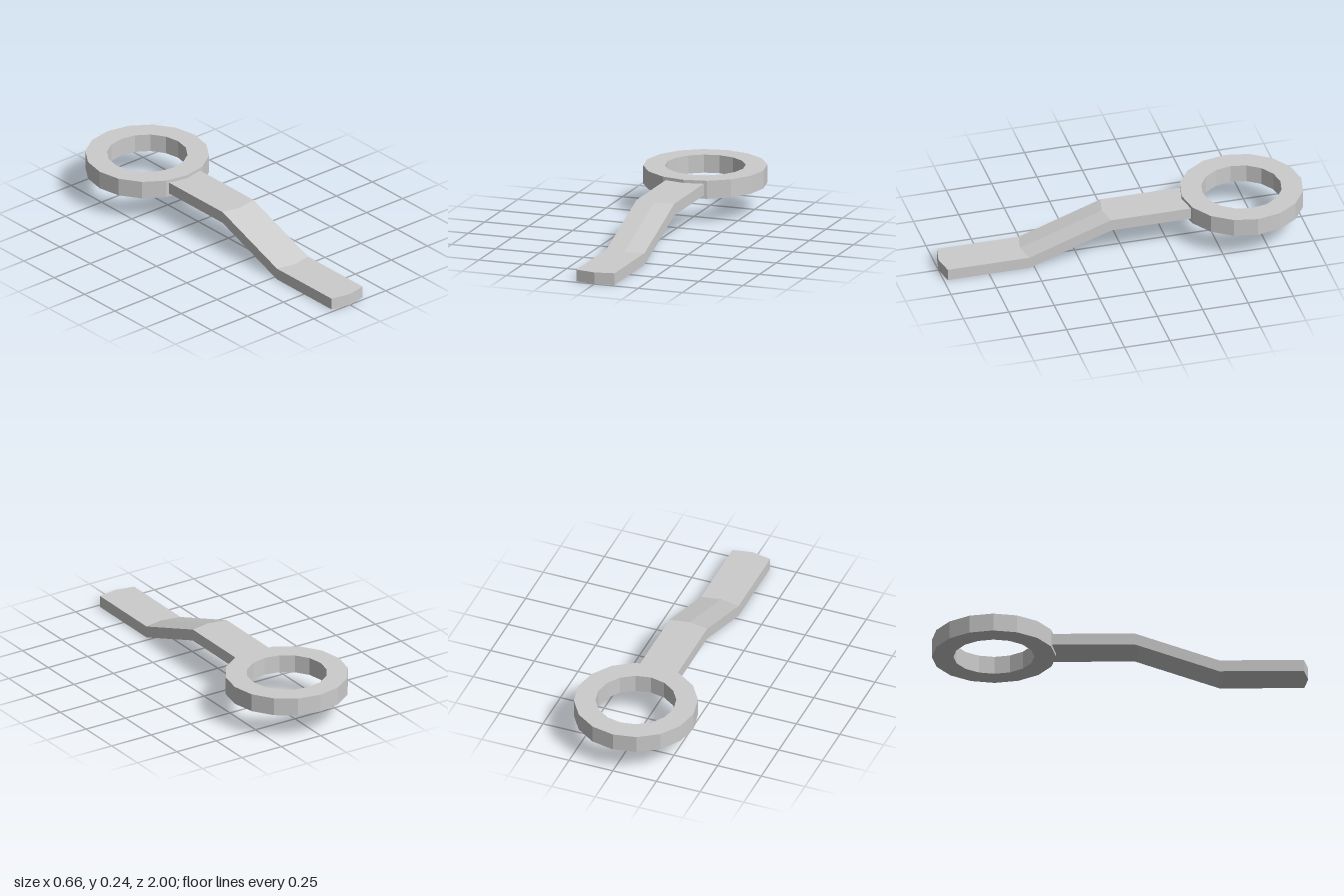
import * as THREE from 'three';

export function createModel() {
  const model = new THREE.Group();
  const material = new THREE.MeshStandardMaterial({ color: 0xcccccc, flatShading: true });

  const outer = 0.33, inner = 0.215, ringZ = -0.67;
  const halfWidth = 0.108, thickness = 0.064;

  // Sixteen-sided ring head: a rectangular section turned around the y axis
  const section = [
    [inner, 0.142], [outer, 0.142], [outer, 0.241], [inner, 0.241], [inner, 0.142],
  ].map(([r, y]) => new THREE.Vector2(r, y));
  const ring = new THREE.Mesh(new THREE.LatheGeometry(section, 16), material);
  ring.name = 'ringHead';
  ring.position.z = ringZ;
  model.add(ring);

  // Offset handle: side profile (z, y) extruded across the width in two steps
  const bulge = halfWidth * Math.tan(Math.PI / 16);
  const path = [[1, 0], [0.55, 0], [0.1, 0.16], [ringZ + outer, 0.16]];
  const profile = [
    ...path,
    ...path.slice().reverse().map(([z, y]) => [z, y + thickness]),
  ].map(([z, y]) => new THREE.Vector2(z - bulge, y));
  const handleGeometry = new THREE.ExtrudeGeometry(new THREE.Shape(profile), {
    depth: 2 * halfWidth, steps: 2, bevelEnabled: false,
  });
  handleGeometry.rotateY(-Math.PI / 2).translate(halfWidth, 0, 0);

  // Push the centre line forward so ends and bends follow the ring's facets
  const pos = handleGeometry.attributes.position;
  for (let i = 0; i < pos.count; i++) {
    pos.setZ(i, pos.getZ(i) + bulge * (1 - Math.abs(pos.getX(i)) / halfWidth));
  }
  handleGeometry.computeVertexNormals();
  const handle = new THREE.Mesh(handleGeometry, material);
  handle.name = 'offsetHandle';
  model.add(handle);

  return model;
}
